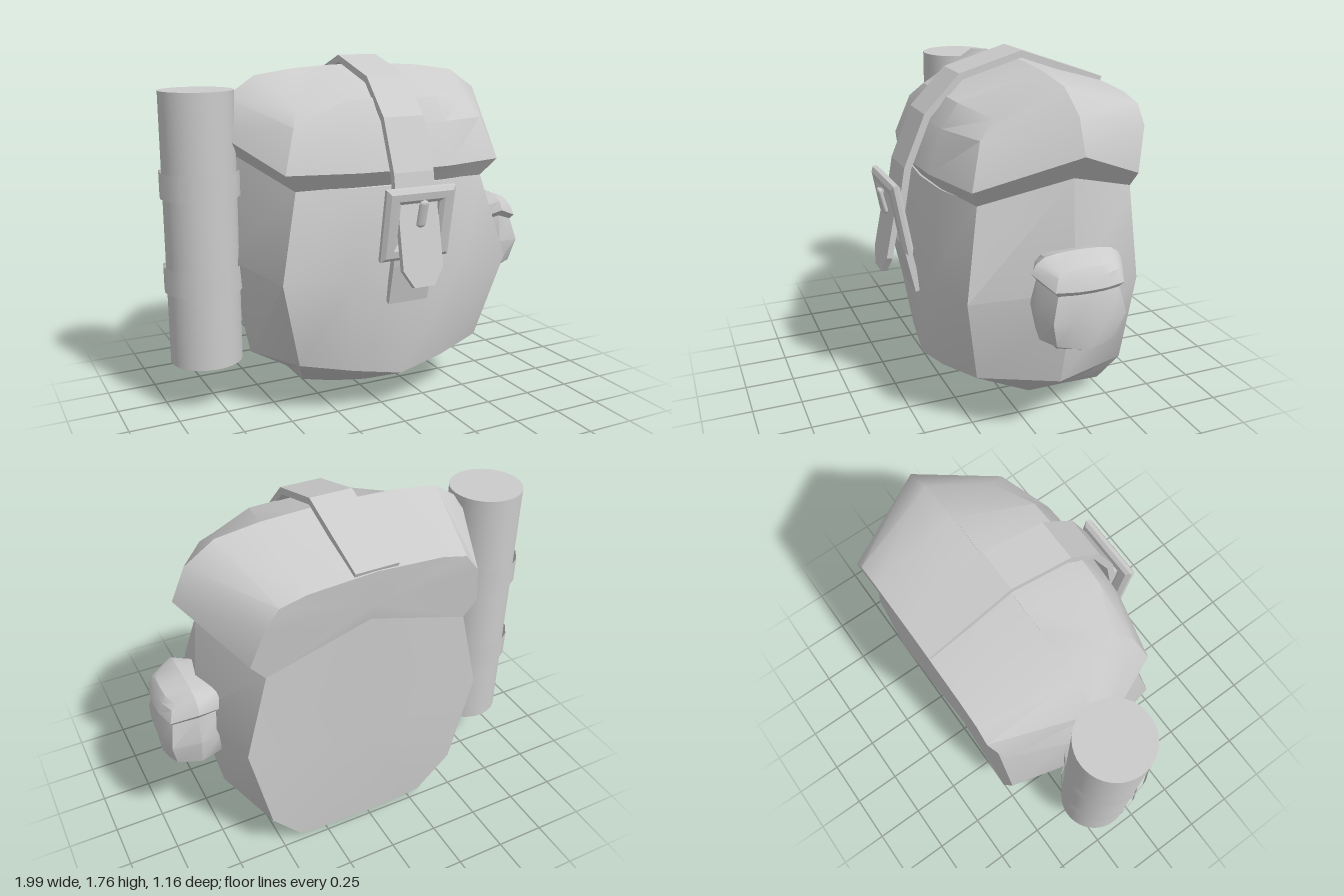
import * as THREE from 'three';
import { toCreasedNormals } from 'three/addons/utils/BufferGeometryUtils.js';

const grey = new THREE.MeshStandardMaterial({ color: 0xcccccc, side: THREE.DoubleSide });
const CX = 0.055; // centre line of the bag

function add(parent, name, geometry) {
  const mesh = new THREE.Mesh(geometry, grey);
  mesh.name = name;
  parent.add(mesh);
  return mesh;
}

// Mirrored shell with a flat back. Each ring runs from the front centre to the
// back corner on +x; rings go from bottom to top.
function shell(rings) {
  const rows = rings.map((ring) => {
    const half = ring.map((p) => new THREE.Vector3(...p));
    const mirrored = half.slice(1).map((p) => new THREE.Vector3(-p.x, p.y, p.z));
    return [...half.reverse(), ...mirrored];
  });
  const out = [];
  const tri = (a, b, c) => {
    if (new THREE.Triangle(a, b, c).getArea() > 1e-7) out.push(a, b, c);
  };
  for (let r = 0; r + 1 < rows.length; r++) {
    for (let c = 0; c + 1 < rows[r].length; c++) {
      const [a, b, d, e] = [rows[r][c], rows[r][c + 1], rows[r + 1][c], rows[r + 1][c + 1]];
      tri(a, d, b);
      tri(b, d, e);
    }
  }
  // flat back panel
  const loop = [...rows.map((r) => r[0]), ...rows.map((r) => r[r.length - 1]).reverse()];
  const mid = new THREE.Vector3();
  loop.forEach((p) => mid.addScaledVector(p, 1 / loop.length));
  loop.forEach((p, i) => tri(mid, loop[(i + 1) % loop.length], p));
  return toCreasedNormals(new THREE.BufferGeometry().setFromPoints(out), 0.55);
}

// a ring shrunk to a point, with its own point on the back panel
const closed = (front, back) => [front, front, front, front, back];

const BODY = [
  closed([0, 0.005, -0.48], [0, 0.005, -0.48]),
  [[0, 0.012, -0.04], [0.18, 0.03, -0.06], [0.35, 0.055, -0.1], [0.35, 0.055, -0.3], [0.35, 0.05, -0.5]],
  [[0, 0.2, 0.36], [0.25, 0.245, 0.33], [0.51, 0.29, 0.25], [0.625, 0.25, -0.14], [0.515, 0.255, -0.525]],
  [[0, 0.74, 0.42], [0.305, 0.74, 0.405], [0.625, 0.74, 0.34], [0.735, 0.77, -0.14], [0.625, 0.74, -0.53]],
  [[0, 1.17, 0.35], [0.25, 1.17, 0.33], [0.515, 1.17, 0.25], [0.69, 1.3, -0.14], [0.515, 1.17, -0.53]],
  closed([0, 1.33, -0.14], [0, 1.33, -0.54]),
];

const LID = [
  closed([0, 1.25, -0.14], [0, 1.33, -0.54]),
  [[0, 1.16, 0.33], [0.25, 1.16, 0.315], [0.515, 1.16, 0.25], [0.69, 1.3, -0.14], [0.515, 1.17, -0.53]],
  [[0, 1.25, 0.4], [0.25, 1.25, 0.385], [0.585, 1.25, 0.3], [0.785, 1.42, -0.14], [0.585, 1.25, -0.53]],
  [[0, 1.46, 0.335], [0.25, 1.46, 0.32], [0.515, 1.46, 0.235], [0.715, 1.58, -0.14], [0.53, 1.46, -0.58]],
  [[0, 1.58, 0.25], [0.25, 1.575, 0.24], [0.47, 1.54, 0.15], [0.565, 1.68, -0.14], [0.46, 1.55, -0.58]],
  [[0, 1.725, -0.14], [0.18, 1.72, -0.14], [0.35, 1.71, -0.14], [0.35, 1.71, -0.14], [0.33, 1.58, -0.58]],
  closed([0, 1.725, -0.14], [0, 1.6, -0.58]),
];

function makeBag(name) {
  const bag = new THREE.Group();
  bag.name = name;
  add(bag, name + 'Body', shell(BODY));
  add(bag, name + 'Lid', shell(LID));
  return bag;
}

// Flat band of given width across x, following an outer path of [z, y] points
function ribbon(path, thickness, width) {
  const pts = path.map((p) => new THREE.Vector2(...p));
  const inner = pts.map((p, i) => {
    const dir = pts[Math.min(i + 1, pts.length - 1)].clone().sub(pts[Math.max(i - 1, 0)]).normalize();
    return new THREE.Vector2(p.x + dir.y * thickness, p.y - dir.x * thickness);
  });
  const geo = new THREE.ExtrudeGeometry(new THREE.Shape([...pts, ...inner.reverse()]), { depth: width, bevelEnabled: false });
  return geo.translate(0, 0, -width / 2).rotateY(-Math.PI / 2);
}

const rectangle = (w, h) => [[-w, -h], [w, -h], [w, h], [-w, h]].map((p) => new THREE.Vector2(...p));

export function createModel() {
  const model = new THREE.Group();
  model.name = 'backpack';

  const bag = makeBag('bag');
  bag.position.x = CX;
  model.add(bag);

  // side pocket: a small copy of the bag facing +x
  const pocket = makeBag('sidePocket');
  pocket.scale.set(0.285, 0.278, 0.285);
  pocket.rotation.y = Math.PI / 2;
  pocket.position.set(0.872, 0.52, -0.125);
  model.add(pocket);

  // strap over the lid and down behind the buckle
  const strap = add(model, 'lidStrap', ribbon([[-0.58, 1.615], [-0.14, 1.77], [0.18, 1.68], [0.355, 1.5],
    [0.46, 1.25], [0.5, 1.02], [0.465, 0.8], [0.42, 0.6]], 0.035, 0.215));
  strap.position.x = CX;

  // buckle frame with a bevelled edge
  const frame = new THREE.Shape(rectangle(0.165, 0.16));
  frame.holes.push(new THREE.Path(rectangle(0.125, 0.125).reverse()));
  const buckle = add(model, 'buckleFrame', new THREE.ExtrudeGeometry(frame,
    { depth: 0.02, bevelThickness: 0.015, bevelSize: 0.02, bevelSegments: 1 }).translate(0, 0, -0.01));
  buckle.position.set(CX, 1.012, 0.497);
  buckle.rotation.x = 0.18;

  // strap end passing out through the buckle
  const tip = [[-0.108, 0], [-0.108, -0.33], [-0.055, -0.415], [0.055, -0.415], [0.108, -0.33], [0.108, 0]];
  const tongue = add(model, 'strapEnd', new THREE.ExtrudeGeometry(
    new THREE.Shape(tip.map((p) => new THREE.Vector2(...p))), { depth: 0.03, bevelEnabled: false }));
  tongue.position.set(CX, 1.12, 0.468);
  tongue.rotation.x = -0.2;

  // buckle pin
  const pin = add(model, 'bucklePin', new THREE.CapsuleGeometry(0.02, 0.1, 3, 8));
  pin.scale.set(1.3, 1, 0.7);
  pin.position.set(CX, 1.065, 0.545);
  pin.rotation.x = 0.25;

  // bedroll with two holding bands
  const roll = add(model, 'bedroll', new THREE.CylinderGeometry(0.182, 0.182, 1.365, 40));
  roll.position.set(-0.803, 0.938, -0.15);
  for (const y of [0.695, 1.168]) {
    const band = add(model, 'bedrollBand', new THREE.CylinderGeometry(0.197, 0.197, 0.13, 16, 1, true));
    band.position.set(-0.803, y, -0.15);
  }
  return model;
}
